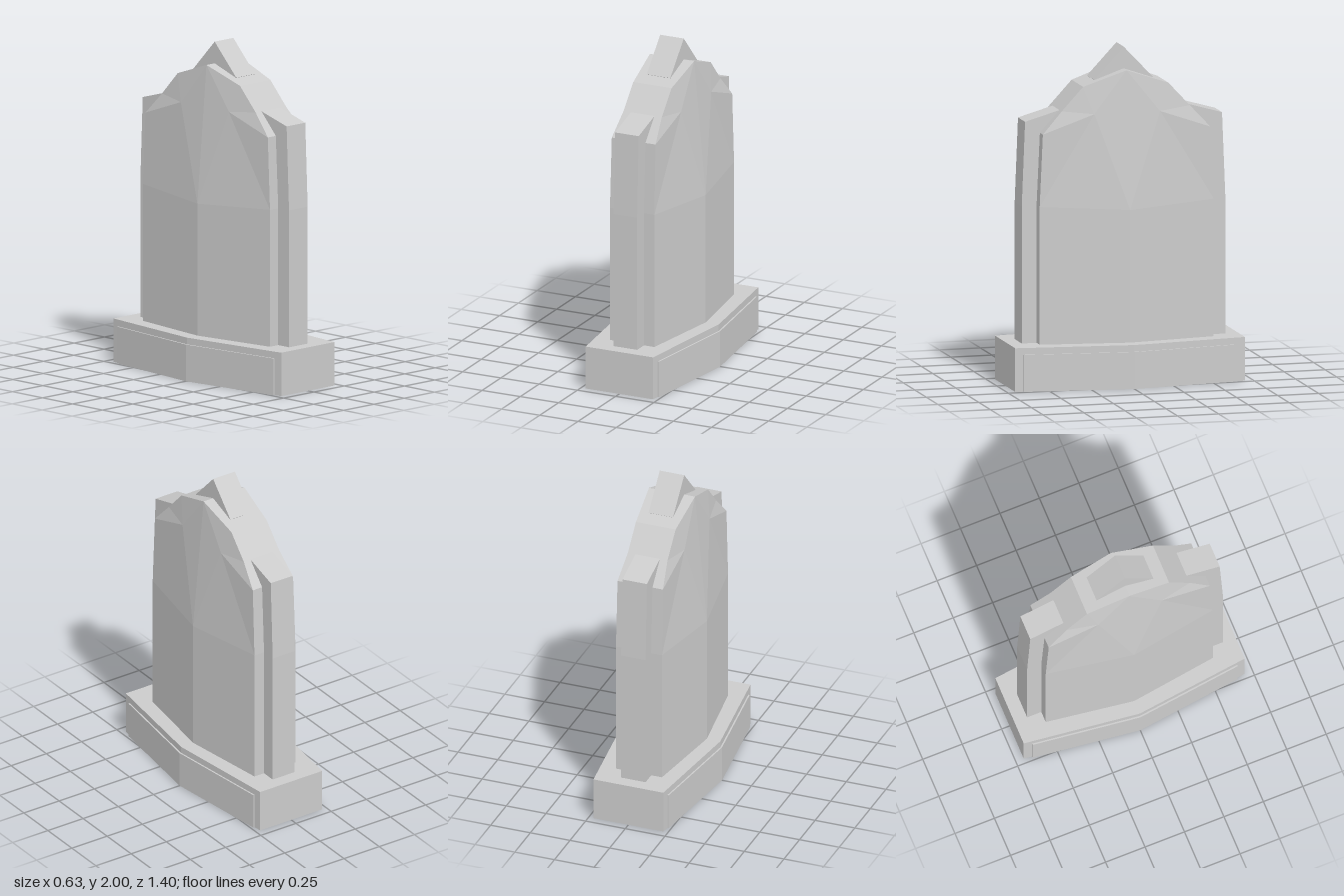
import * as THREE from 'three';

const material = new THREE.MeshStandardMaterial({ color: 0xcccccc, flatShading: true });

const toShape = (points) => new THREE.Shape(points.map(([a, b]) => new THREE.Vector2(a, b)));

// Hexagonal plan: narrow at both ends, widest at z = 0
const hexPlan = (end, middle, z) =>
  [[end, -z], [middle, 0], [end, z], [-end, z], [-middle, 0], [-end, -z]];

// Extrude a plan (x, z) upwards from y0 to y1
function extrudeUp(points, y0, y1, hole) {
  const shape = toShape(points);
  if (hole) shape.holes.push(toShape(hole));
  const geometry = new THREE.ExtrudeGeometry(shape, { depth: y1 - y0, bevelEnabled: false });
  return geometry.rotateX(-Math.PI / 2).translate(0, y0, 0);
}

// Slab with ridged faces: one quarter, mirrored in x and z
function slabGeometry() {
  const y0 = 0.25;
  const ridgeFoot = [0.22, y0, 0], ridgeTop = [0.22, 1.05, 0], peak = [0.145, 1.87, 0];
  const blend = [0.158, 1.62, 0.2];
  // Outer edge from the peak down to the foot
  const edge = [
    peak, [0.125, 1.78, 0.26], [0.125, 1.64, 0.39],
    [0.143, 1.51, 0.51], [0.145, 1.08, 0.53], [0.145, y0, 0.53],
  ];
  const shoulder = edge[4], foot = edge[5];
  const triangles = [
    [ridgeFoot, ridgeTop, shoulder], [ridgeFoot, shoulder, foot],
    [blend, ridgeTop, peak], [blend, shoulder, ridgeTop],
    [ridgeFoot, foot, [0, y0, 0.53]], [ridgeFoot, [0, y0, 0.53], [0, y0, 0]],
  ];
  for (let i = 0; i < edge.length - 1; i++) {
    const a = edge[i], b = edge[i + 1];
    const a0 = [0, a[1], a[2]], b0 = [0, b[1], b[2]];
    if (i < 4) triangles.push([blend, a, b]);
    triangles.push([a, a0, b0], [a, b0, b]);
  }
  const positions = [];
  for (const sx of [1, -1]) for (const sz of [1, -1]) {
    for (const [a, b, c] of triangles) {
      const corners = sx * sz > 0 ? [a, b, c] : [a, c, b];
      for (const [x, y, z] of corners) positions.push(x * sx, y, z * sz);
    }
  }
  const geometry = new THREE.BufferGeometry();
  geometry.setAttribute('position', new THREE.Float32BufferAttribute(positions, 3));
  geometry.computeVertexNormals();
  return geometry;
}

// Narrow spine: end pillars with sloped caps and the pointed crest
function spineGeometry() {
  const half = [[0.62, 0.25], [0.62, 1.08], [0.6, 1.58], [0.39, 1.64], [0.34, 1.6], [0.14, 1.77]];
  const mirrored = half.map(([z, y]) => [-z, y]).reverse();
  const width = 0.154;
  const geometry = new THREE.ExtrudeGeometry(
    toShape([...half, [0.18, 1.81], [0, 2], [-0.18, 1.81], ...mirrored]),
    { depth: width, bevelEnabled: false });
  return geometry.translate(0, 0, -width / 2).rotateY(Math.PI / 2);
}

export function createModel() {
  const model = new THREE.Group();
  model.name = 'monument';
  const add = (name, geometry) => {
    const mesh = new THREE.Mesh(geometry, material);
    mesh.name = name;
    model.add(mesh);
  };

  // Plinth with a stepped recess underneath
  const plan = hexPlan(0.22, 0.305, 0.7);
  add('plinthFoot', extrudeUp(plan, 0, 0.1, hexPlan(0.12, 0.195, 0.55)));
  add('plinthTop', extrudeUp(plan, 0.1, 0.26, hexPlan(0.06, 0.12, 0.46)));

  // Raised panels on both long sides of the plinth
  for (const [side, name] of [[1, 'leftPlinthPanel'], [-1, 'rightPlinthPanel']]) {
    const panel = [[0.235, -0.65], [0.315, 0], [0.235, 0.65], [0.21, 0.65], [0.27, 0], [0.21, -0.65]];
    add(name, extrudeUp(panel.map(([x, z]) => [x * side, z]), 0, 0.22));
  }

  add('slab', slabGeometry());
  add('spine', spineGeometry());
  return model;
}
